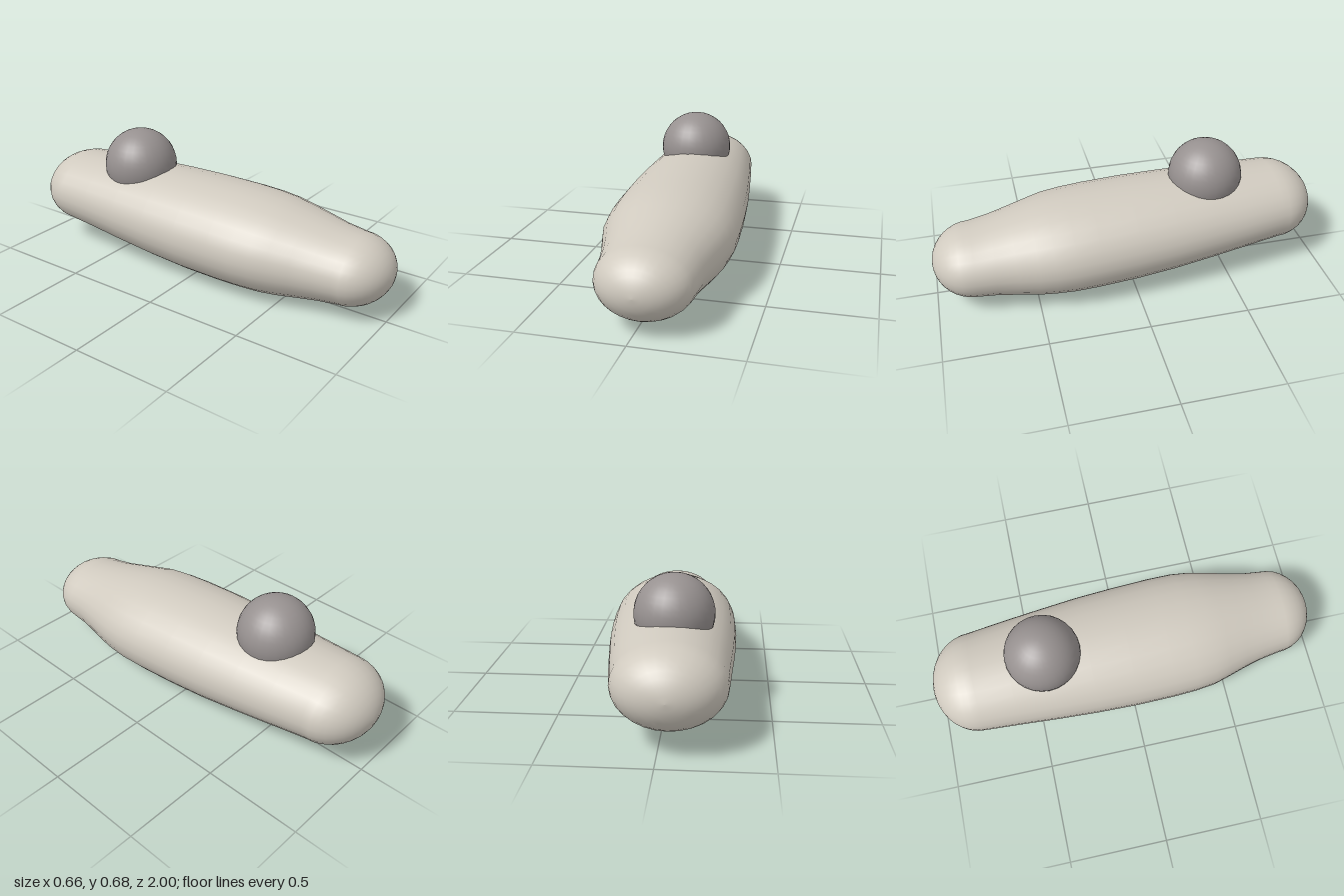
import * as THREE from 'three';

const SIDES = 28;
const CAP_STEPS = 9;

// Body outline along z: [z, left edge, right edge, bottom, top]
const OUTLINE = [
  [-0.78, -0.303, 0.212, 0.091, 0.477],
  [-0.6, -0.311, 0.24, 0.071, 0.481],
  [-0.4, -0.321, 0.268, 0.046, 0.486],
  [-0.2, -0.328, 0.294, 0.024, 0.489],
  [0, -0.33, 0.312, 0.008, 0.488],
  [0.2, -0.325, 0.325, 0.001, 0.481],
  [0.32, -0.317, 0.328, 0.0, 0.473],
  [0.42, -0.303, 0.319, 0.002, 0.462],
  [0.5, -0.278, 0.304, 0.006, 0.446],
  [0.6, -0.245, 0.281, 0.018, 0.424],
  [0.7, -0.218, 0.262, 0.032, 0.4],
  [0.8, -0.2, 0.254, 0.042, 0.383],
];

// Turn an outline row into an elliptical ring
const toRing = ([z, x0, x1, y0, y1]) => ({
  z, x: (x0 + x1) / 2, y: (y0 + y1) / 2, rx: (x1 - x0) / 2, ry: (y1 - y0) / 2,
});

// Rings that round an end off, ordered from the end ring to its tip
function capRings(ring, tipZ) {
  const rings = [];
  for (let k = 1; k <= CAP_STEPS; k++) {
    const a = (k / CAP_STEPS) * Math.PI / 2;
    const s = Math.max(Math.cos(a), 0.001);
    rings.push({
      ...ring, z: ring.z + (tipZ - ring.z) * Math.sin(a), rx: ring.rx * s, ry: ring.ry * s,
    });
  }
  return rings;
}

// Skin a row of rings running from back to front
function loft(rings) {
  const positions = [];
  const index = [];
  rings.forEach((r, i) => {
    for (let j = 0; j < SIDES; j++) {
      const a = (j / SIDES) * Math.PI * 2;
      positions.push(r.x + r.rx * Math.cos(a), r.y + r.ry * Math.sin(a), r.z);
      if (i === rings.length - 1) continue;
      const p = i * SIDES + j;
      const q = i * SIDES + (j + 1) % SIDES;
      index.push(p, q, p + SIDES, q, q + SIDES, p + SIDES);
    }
  });
  const geometry = new THREE.BufferGeometry();
  geometry.setAttribute('position', new THREE.Float32BufferAttribute(positions, 3));
  geometry.setIndex(index);
  geometry.computeVertexNormals();
  return geometry;
}

export function createModel() {
  const group = new THREE.Group();
  const paleStone = new THREE.MeshStandardMaterial({ color: 0xd0cabf });
  paleStone.name = 'paleStone';
  const greyStone = new THREE.MeshStandardMaterial({ color: 0x979190 });
  greyStone.name = 'greyStone';

  // Long rounded body, slightly skewed and tapering to the front
  const rings = OUTLINE.map(toRing);
  const back = capRings(rings[0], -1).reverse();
  const front = capRings(rings[rings.length - 1], 1);
  const body = new THREE.Mesh(loft([...back, ...rings, ...front]), paleStone);
  body.name = 'body';
  group.add(body);

  // Ball half sunk into the top
  const dome = new THREE.Mesh(new THREE.SphereGeometry(0.188, 28, 20), greyStone);
  dome.name = 'dome';
  dome.position.set(-0.042, 0.487, -0.421);
  group.add(dome);

  return group;
}
